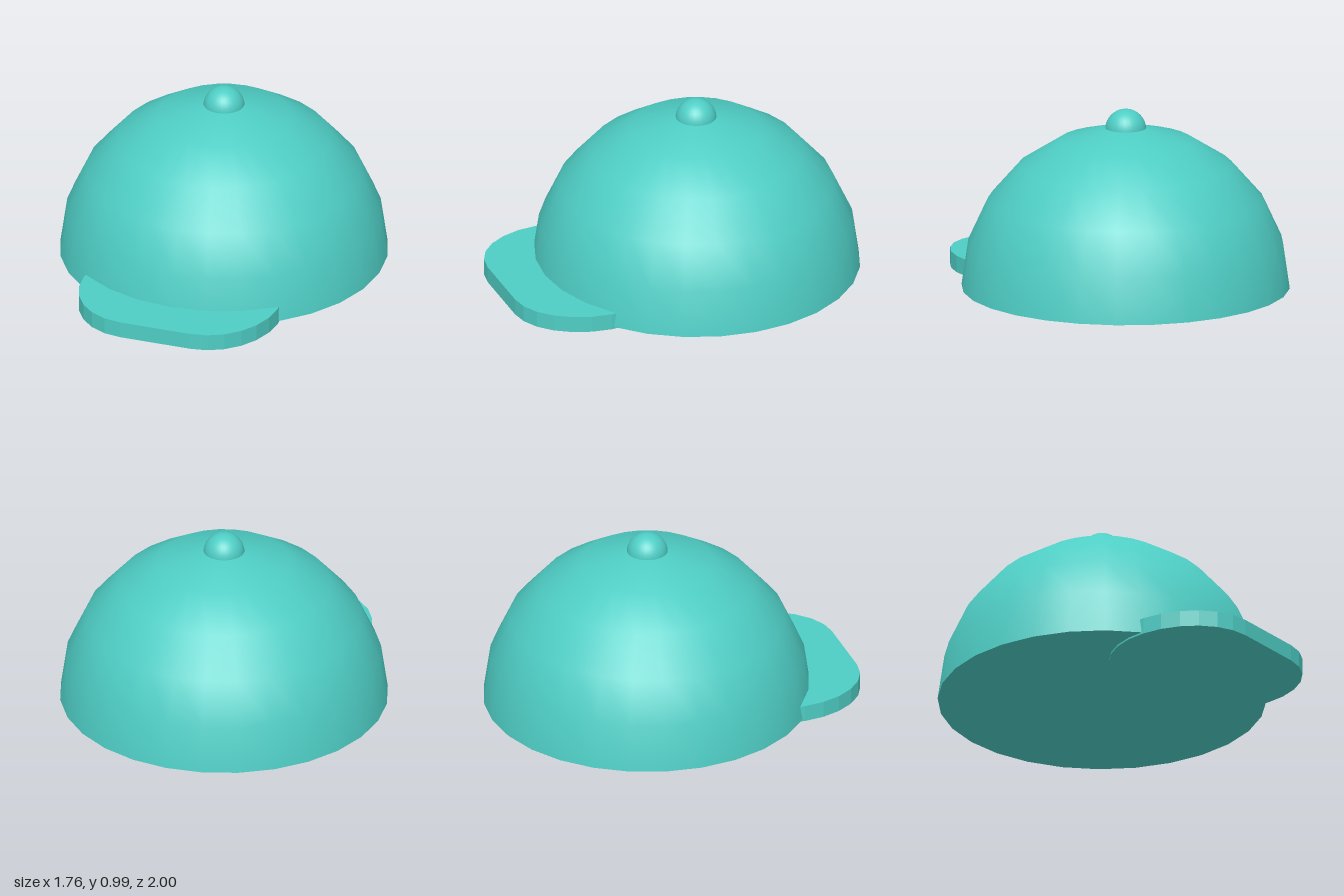
import * as THREE from 'three';

const CENTER_Z = -0.12;
const RADIUS = 0.88;
const BASE_Y = 0.01;

export function createModel() {
  const group = new THREE.Group();
  group.name = 'cap';
  const teal = new THREE.MeshStandardMaterial({ color: 0x4ecdc4 });
  teal.name = 'teal';

  const add = (name, geometry, x, y, z) => {
    const mesh = new THREE.Mesh(geometry, teal);
    mesh.name = name;
    mesh.position.set(x, y, z);
    group.add(mesh);
    return mesh;
  };

  // Crown: smooth hemisphere in coarse rings
  const profile = [];
  for (const degrees of [0, 16.5, 33, 49.5, 66, 83, 90]) {
    const a = THREE.MathUtils.degToRad(degrees);
    profile.push(new THREE.Vector2(degrees === 90 ? 0 : RADIUS * Math.cos(a), RADIUS * Math.sin(a)));
  }
  add('crown', new THREE.LatheGeometry(profile, 28), 0, BASE_Y, CENTER_Z);

  // Flat underside closing the crown
  const underside = new THREE.CircleGeometry(RADIUS, 28);
  underside.rotateX(Math.PI / 2);
  add('crownUnderside', underside, 0, BASE_Y, CENTER_Z);

  // Half-round button on top
  const button = new THREE.SphereGeometry(0.11, 28, 10, 0, Math.PI * 2, 0, Math.PI / 2);
  add('topButton', button, 0, 0.875, CENTER_Z);

  // Brim: rounded slab that runs in under the crown
  const flat = 0.2, rx = 0.35, rz = 0.42;
  const outline = new THREE.Shape();
  outline.moveTo(flat, -rz);
  outline.absellipse(flat, 0, rx, rz, -Math.PI / 2, Math.PI / 2, false);
  outline.lineTo(-flat, rz);
  outline.absellipse(-flat, 0, rx, rz, Math.PI / 2, Math.PI * 1.5, false);
  const brim = new THREE.ExtrudeGeometry(outline, { depth: 0.09, bevelEnabled: false, curveSegments: 6 });
  brim.rotateX(-Math.PI / 2);
  add('brim', brim, 0, 0, 0.58);

  return group;
}
